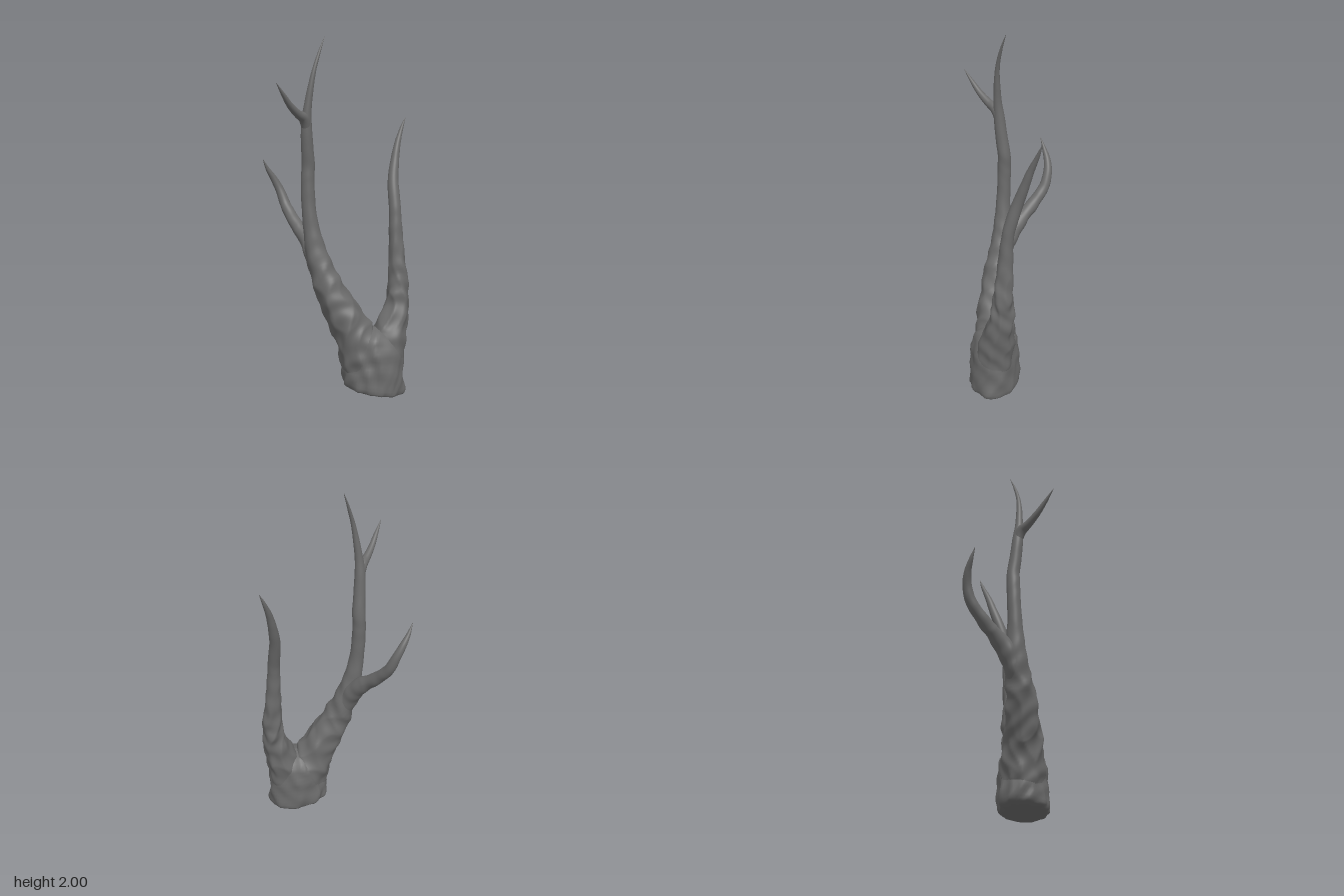
import * as THREE from 'three';

const V = (x, y, z) => new THREE.Vector3(x, y, z);
const SIDES = 64;

// Bark relief: long ridges and cracks, strong near the root and fading upwards
function bark({ x, y, z }) {
  const warp = 1.6 * Math.sin(6 * y + 9 * x) + 0.9 * Math.sin(15 * y - 11 * z);
  const ridge = 1 - 2 * Math.abs(Math.sin(30 * x + 21 * z + warp));
  const cross = 1 - 2 * Math.abs(Math.sin(25 * z - 33 * x + 7 * y - warp));
  const chip = Math.sin(34 * y + 29 * x + warp) * Math.sin(41 * z - 17 * y + 2);
  const fade = 1 - THREE.MathUtils.smoothstep(y, 0.4, 1.15);
  return (0.005 * ridge + 0.004 * cross + 0.005 * chip) * fade + 0.001 * chip;
}

// Skin a closed loop of SIDES points per ring
function loft(rings, pointAt) {
  const pos = [], index = [];
  for (let i = 0; i < rings; i++) {
    for (let j = 0; j < SIDES; j++) {
      pos.push(...pointAt(i, (j / SIDES) * Math.PI * 2).toArray());
      if (i === rings - 1) continue;
      const k = (j + 1) % SIDES;
      const a = i * SIDES + j, b = i * SIDES + k;
      index.push(a, b, b + SIDES, a, b + SIDES, a + SIDES);
    }
  }
  const g = new THREE.BufferGeometry();
  g.setAttribute('position', new THREE.Float32BufferAttribute(pos, 3));
  g.setIndex(index);
  g.computeVertexNormals();
  return g;
}

// Tapered limb through stations [x, y, z, radius]
function limb(stations, ref = V(1, 0, 0)) {
  const path = new THREE.CatmullRomCurve3(stations.map(s => V(s[0], s[1], s[2])));
  const taper = new THREE.CatmullRomCurve3(
    stations.map((s, i) => V(s[3], i * 0.1, 0)), false, 'catmullrom', 0.5);
  const rings = (stations.length - 1) * 12 + 1;
  const frames = Array.from({ length: rings }, (_, i) => {
    const t = i / (rings - 1);
    const T = path.getTangent(t);
    const N = ref.clone().addScaledVector(T, -ref.dot(T)).normalize();
    return { c: path.getPoint(t), r: Math.max(0.001, taper.getPoint(t).x), N, B: T.clone().cross(N) };
  });
  return loft(rings, (i, a) => {
    const { c, r, N, B } = frames[i];
    const dir = N.clone().multiplyScalar(Math.cos(a)).addScaledVector(B, Math.sin(a));
    const p = c.clone().addScaledVector(dir, r);
    return p.addScaledVector(dir, bark(p) * Math.min(1, r / 0.04));
  });
}

// Oval trunk with a slanting cut at the bottom; its domed top sits inside the fork
function trunk() {
  // [height, scale of the oval]
  const profile = [[0, 0], [0, 0.5], [0, 0.86], [0.004, 0.94], [0.015, 0.985], [0.035, 1], [0.06, 1], [0.085, 0.99],
    [0.11, 0.98], [0.135, 0.97], [0.16, 0.965], [0.185, 0.96], [0.21, 0.95], [0.235, 0.93], [0.26, 0.91],
    [0.285, 0.87], [0.31, 0.81], [0.335, 0.72], [0.36, 0.58], [0.38, 0.38], [0.39, 0]];
  const U = V(1, 0, 1).normalize(), W = V(1, 0, -1).normalize();
  return loft(profile.length, (i, a) => {
    const [h, s] = profile[i];
    const dir = U.clone().multiplyScalar(0.18 * Math.cos(a)).addScaledVector(W, 0.145 * Math.sin(a));
    const p = V(0.105, h, 0.215).addScaledVector(dir, s);
    const slant = 0.028 - 0.1 * (p.x - 0.105) - 0.11 * (p.z - 0.215);
    p.y += Math.max(0, slant) * (1 - h / 0.39);
    return p.addScaledVector(dir.normalize(), i > 2 && s > 0 ? bark(p) : 0);
  });
}

export function createModel() {
  const group = new THREE.Group();
  const material = new THREE.MeshStandardMaterial({ color: 0x6a6a6a });
  const add = (name, geometry) => {
    const mesh = new THREE.Mesh(geometry, material);
    mesh.name = name;
    group.add(mesh);
  };

  add('trunk', trunk());

  // The two main limbs start low inside the trunk, flush with its sides
  add('tallLimb', limb([
    [0.08, 0.08, 0.19, 0.11], [0.063, 0.19, 0.18, 0.125], [0.037, 0.3, 0.16, 0.121], [0, 0.4, 0.135, 0.108],
    [-0.045, 0.5, 0.095, 0.095], [-0.082, 0.6, 0.058, 0.084], [-0.125, 0.8, -0.003, 0.062],
    [-0.152, 1, -0.033, 0.042], [-0.158, 1.2, -0.046, 0.038], [-0.155, 1.3, -0.044, 0.037],
    [-0.168, 1.4, -0.036, 0.034], [-0.177, 1.5, -0.03, 0.031], [-0.18, 1.6, -0.02, 0.024],
    [-0.153, 1.8, 0, 0.013], [-0.115, 1.91, 0.003, 0.008], [-0.073, 2, 0, 0.001]]));

  add('shortLimb', limb([
    [0.138, 0.08, 0.243, 0.1], [0.148, 0.19, 0.248, 0.112], [0.175, 0.3, 0.255, 0.106], [0.207, 0.4, 0.258, 0.089],
    [0.24, 0.5, 0.262, 0.072], [0.252, 0.6, 0.262, 0.061], [0.253, 0.8, 0.245, 0.047], [0.256, 1, 0.23, 0.035],
    [0.263, 1.08, 0.215, 0.034], [0.282, 1.2, 0.183, 0.031], [0.312, 1.3, 0.162, 0.026],
    [0.347, 1.4, 0.147, 0.019], [0.39, 1.49, 0.136, 0.011], [0.425, 1.56, 0.135, 0.001]]));

  add('backBranch', limb([
    [-0.1, 0.62, 0.035, 0.055], [-0.11, 0.74, -0.01, 0.058], [-0.114, 0.83, -0.065, 0.054],
    [-0.115, 0.89, -0.13, 0.044], [-0.116, 0.965, -0.22, 0.036], [-0.115, 1.05, -0.3, 0.031],
    [-0.125, 1.13, -0.336, 0.026], [-0.155, 1.2, -0.356, 0.02], [-0.195, 1.26, -0.363, 0.012],
    [-0.23, 1.32, -0.362, 0.001]]));

  add('sideTwig', limb([
    [-0.172, 1.44, -0.032, 0.022], [-0.182, 1.52, -0.027, 0.028], [-0.205, 1.563, -0.02, 0.029],
    [-0.25, 1.585, -0.01, 0.023], [-0.315, 1.63, 0.005, 0.018], [-0.37, 1.685, 0.02, 0.012],
    [-0.43, 1.75, 0.035, 0.001]], V(0, 0, 1)));

  return group;
}
